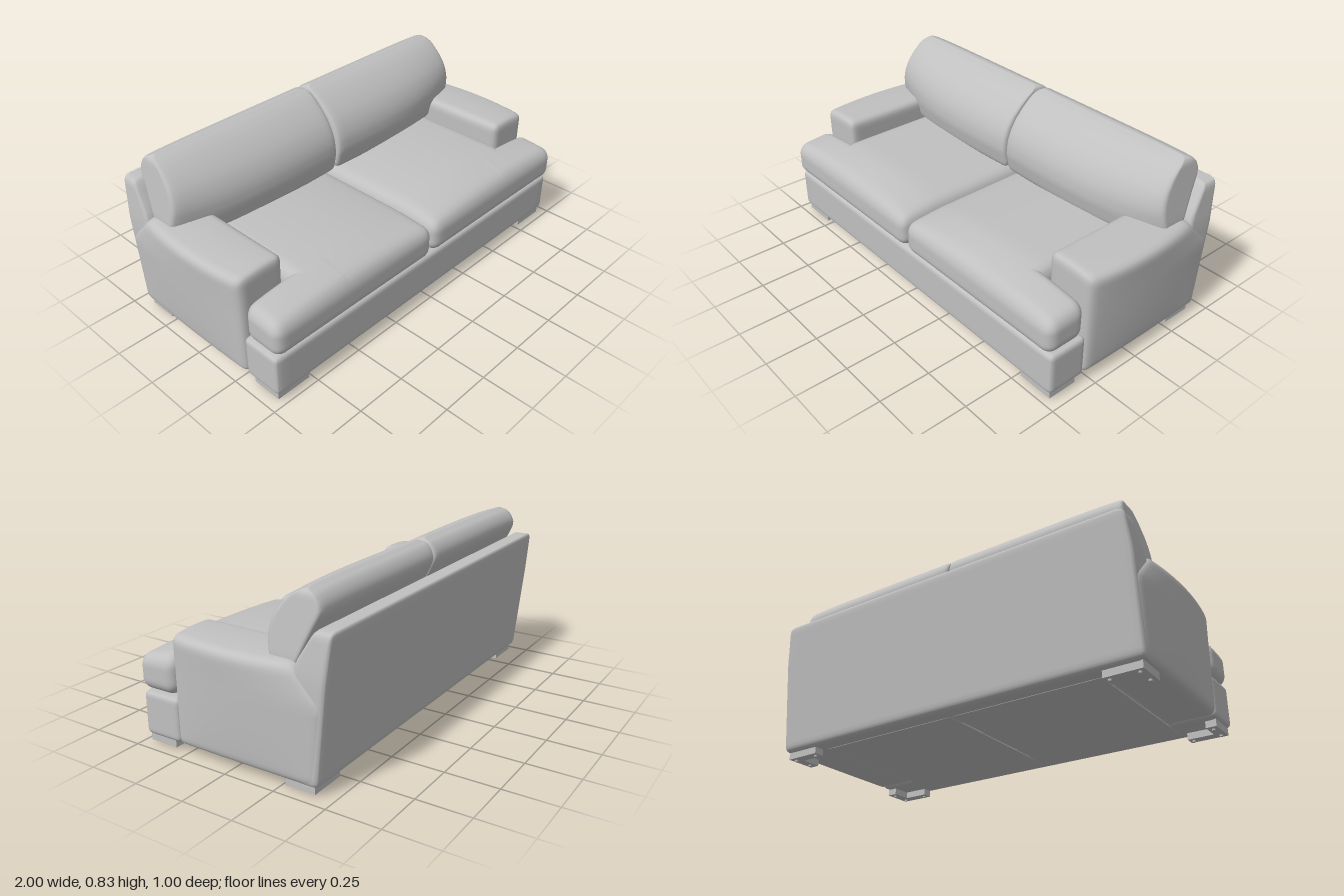
import * as THREE from 'three';
import { mergeVertices } from 'three/addons/utils/BufferGeometryUtils.js';

const { clamp, lerp } = THREE.MathUtils;
const upholstery = new THREE.MeshStandardMaterial({ color: 0xc0c0c0 });
upholstery.name = 'grey upholstery';

// Piecewise-linear lookup in a short list of [input, output] pairs
function lookup(table, v) {
  if (v <= table[0][0]) return table[0][1];
  for (let i = 1; i < table.length; i++) {
    const [a, fa] = table[i - 1], [b, fb] = table[i];
    if (v <= b) return lerp(fa, fb, (v - a) / (b - a));
  }
  return table[table.length - 1][1];
}

// Rounded, finely divided box between two corners, reshaped by a rule and optionally mirrored in x
function softBox(name, min, max, radius, side = 1, reshape = null, n = 24) {
  let geo = new THREE.BoxGeometry(2, 2, 2, n, n, n);
  geo.deleteAttribute('uv');
  geo.deleteAttribute('normal');
  geo = mergeVertices(geo);
  const lo = new THREE.Vector3(...min), hi = new THREE.Vector3(...max);
  const centre = lo.clone().add(hi).multiplyScalar(0.5);
  const half = hi.clone().sub(lo).multiplyScalar(0.5);
  const core = half.clone().subScalar(radius);
  const pos = geo.attributes.position;
  const p = new THREE.Vector3(), inner = new THREE.Vector3();
  for (let i = 0; i < pos.count; i++) {
    p.fromBufferAttribute(pos, i);
    // crowd the divisions towards the rounded edges
    for (const k of ['x', 'y', 'z']) {
      p[k] = Math.sin(p[k] * Math.PI / 2) * half[k];
      inner[k] = clamp(p[k], -core[k], core[k]);
    }
    p.sub(inner).setLength(radius).add(inner).add(centre);
    if (reshape) reshape(p);
    pos.setXYZ(i, p.x * side, p.y, p.z);
  }
  if (side < 0) geo.index.array.reverse();
  geo.computeVertexNormals();
  const mesh = new THREE.Mesh(geo, upholstery);
  mesh.name = name;
  return mesh;
}

// Slanted rear face and front face of the backrest
const rearZ = y => lerp(-0.44, -0.505, (y - 0.04) / 0.65);
const backrestFront = [[0.04, -0.25], [0.545, -0.33], [0.69, -0.42]];
function shapeBackrest(p) {
  const u = (p.z + 0.5) / 0.2;
  p.z = lerp(rearZ(p.y), lookup(backrestFront, p.y), u);
  p.x *= 1 - 0.02 * clamp((p.y - 0.5) / 0.19, 0, 1);
}

// Arm with bulging outer face, domed top and mitred rear corner
function shapeArm(p) {
  const u = (p.z + 0.45) / 0.74;
  const w = clamp((p.x - 0.73) / 0.235, 0, 1);
  const rear = p.y < 0.4 ? rearZ(p.y) + 0.004 : lerp(-0.47, -0.33, (p.y - 0.4) / 0.145);
  const rise = clamp((p.y - 0.04) / 0.46, 0, 1);
  p.x += w * 0.036 * Math.sqrt(rise) * Math.sin(Math.PI * clamp(u, 0, 1)) ** 0.7;
  p.y += 0.012 * rise * Math.sin(Math.PI * clamp(w * 0.8 + 0.1, 0, 1)) - 0.012 * w * rise;
  p.z = lerp(rear, 0.29, u);
}

// Crowned top of the seat cushions
function shapeSeat(p) {
  const w = (p.y - 0.25) / 0.155;
  const across = Math.sin(Math.PI * clamp(p.x / 0.98, 0, 1)) ** 0.6;
  const depth = Math.sqrt(clamp((0.5 - p.z) / 0.2, 0, 1));
  p.y += w * (0.012 * depth + 0.053 * across * depth);
}

// Leaning, egg-shaped section of the back cushions
const cushionFront = [[0.45, -0.12], [0.55, -0.1], [0.61, -0.105], [0.66, -0.122],
  [0.71, -0.152], [0.76, -0.2], [0.8, -0.252], [0.82, -0.29], [0.832, -0.325]];
const cushionRear = [[0.45, -0.29], [0.55, -0.335], [0.68, -0.395], [0.73, -0.42],
  [0.76, -0.424], [0.79, -0.412], [0.815, -0.39], [0.832, -0.35]];
function shapeCushion(p) {
  const u = (p.z + 0.4) / 0.3;
  const e = clamp(p.x / 0.93, 0, 1);
  const t = clamp((p.y - 0.55) / 0.28, 0, 1);
  const tuck = 0.09 * e ** 4 * (1 - 0.8 * t) + 0.012 * (1 - e) ** 4;
  p.z = lerp(lookup(cushionRear, p.y), lookup(cushionFront, p.y) - tuck, u);
  p.x -= 0.035 * e * t;
  p.y -= 0.008 * t * e ** 8;
}

// L-shaped corner foot standing on small glides
function makeLeg(side, front) {
  const leg = new THREE.Group();
  leg.name = front > 0 ? 'frontLeg' : 'rearLeg';
  const corner = front > 0 ? 0.465 : -0.415;
  const add = (name, geo, x, y, z) => {
    const m = new THREE.Mesh(geo, upholstery);
    m.name = name;
    m.position.set(side * x, y, z);
    leg.add(m);
  };
  add('legLongSide', new THREE.BoxGeometry(0.175, 0.04, 0.05), 0.8575, 0.028, corner - front * 0.025);
  add('legShortSide', new THREE.BoxGeometry(0.05, 0.04, 0.095), 0.92, 0.028, corner - front * 0.0975);
  for (const [x, d] of [[0.79, 0.025], [0.92, 0.025], [0.92, 0.115]])
    add('glide', new THREE.CylinderGeometry(0.008, 0.008, 0.01, 12), x, 0.005, corner - front * d);
  return leg;
}

export function createModel() {
  const sofa = new THREE.Group();
  sofa.name = 'sofa';

  // Frame
  sofa.add(softBox('frontRail', [-0.96, 0.04, 0.28], [0.96, 0.247, 0.482], 0.025));
  sofa.add(softBox('seatBase', [-0.76, 0.045, -0.42], [0.76, 0.26, 0.32], 0.01, 1, null, 8));
  sofa.add(softBox('backrest', [-0.966, 0.04, -0.5], [0.966, 0.69, -0.3], 0.03, 1, shapeBackrest));

  for (const s of [1, -1]) {
    sofa.add(softBox('arm', [0.73, 0.04, -0.45], [0.965, 0.548, 0.29], 0.035, s, shapeArm));

    // T-shaped seat cushion: main pad plus the ear in front of the arm
    const seat = new THREE.Group();
    seat.name = 'seatCushion';
    seat.add(softBox('seatPad', [0.004, 0.25, -0.25], [0.728, 0.405, 0.5], 0.05, s, shapeSeat));
    seat.add(softBox('seatEar', [0.5, 0.25, 0.295], [0.962, 0.405, 0.5], 0.05, s, shapeSeat));
    sofa.add(seat);

    sofa.add(softBox('backCushion', [0.004, 0.45, -0.4], [0.932, 0.832, -0.1], 0.03, s, shapeCushion));

    // Dust cover under the seat
    sofa.add(softBox('underPanel', [0.006, 0.037, -0.36], [0.74, 0.046, 0.4], 0.003, s, null, 6));

    for (const f of [1, -1]) sofa.add(makeLeg(s, f));
  }
  return sofa;
}
